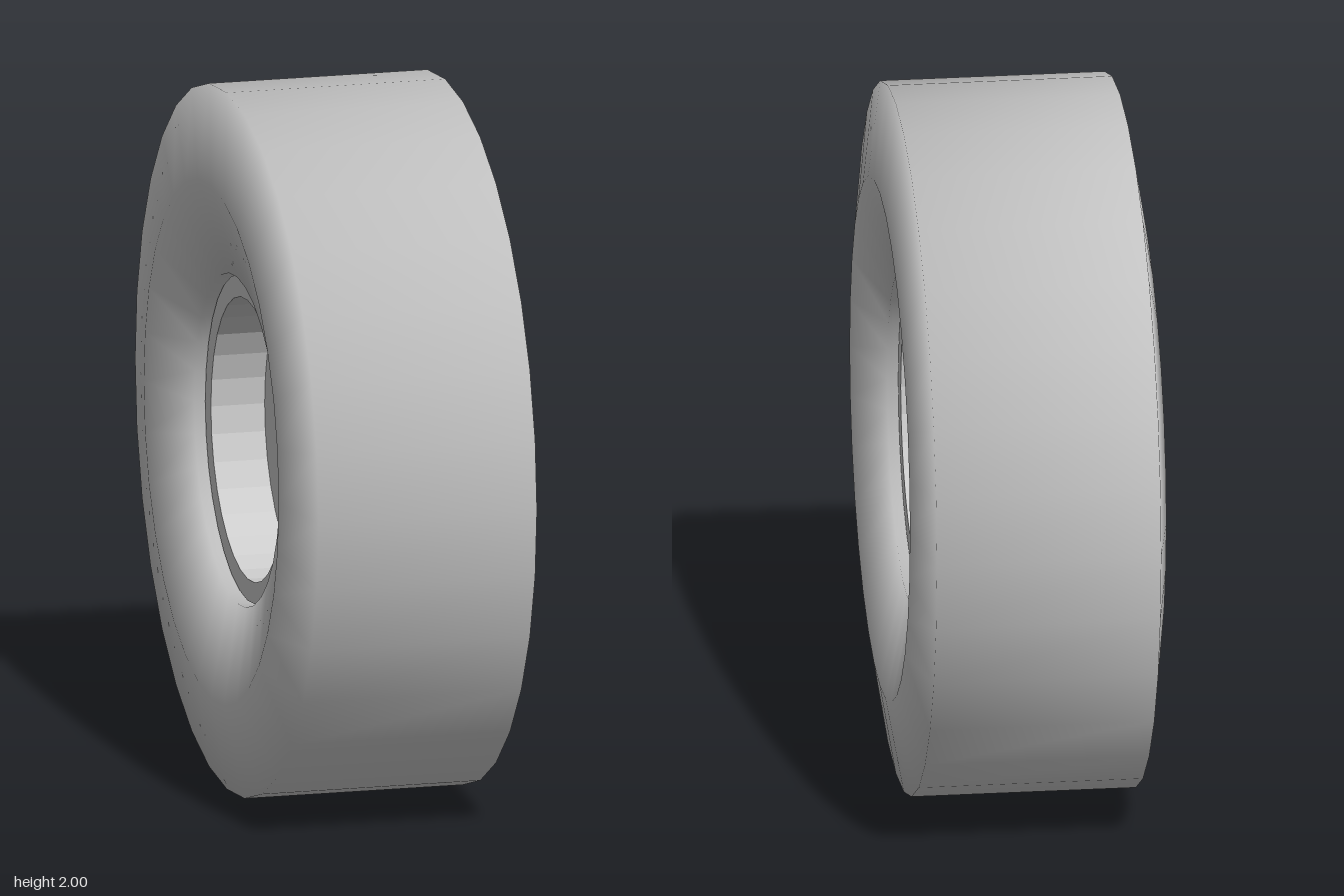
import * as THREE from 'three';

const SIDES = 32;

// Revolves a profile of (radius, distance along the axle) around the x axis.
// Each vertex normal halves the angle between the two bands it joins.
function revolve(name, profile, flatShading) {
  const points = profile.map(([r, w]) => new THREE.Vector2(r, w));
  const geometry = new THREE.LatheGeometry(points, SIDES);

  const bands = points.slice(1).map((p, j) => {
    const d = p.clone().sub(points[j]).normalize();
    return new THREE.Vector2(d.y, -d.x);
  });
  const normals = geometry.attributes.normal;
  for (let i = 0; i <= SIDES; i++) {
    const angle = (i / SIDES) * Math.PI * 2;
    points.forEach((_, j) => {
      const before = bands[Math.max(j - 1, 0)];
      const after = bands[Math.min(j, bands.length - 1)];
      const n = before.clone().add(after).normalize();
      normals.setXYZ(i * points.length + j, n.x * Math.sin(angle), n.y, n.x * Math.cos(angle));
    });
  }

  geometry.rotateZ(-Math.PI / 2);
  const mesh = new THREE.Mesh(
    geometry,
    new THREE.MeshStandardMaterial({ color: 0xcccccc, flatShading })
  );
  mesh.name = name;
  return mesh;
}

export function createModel() {
  const wheel = new THREE.Group();
  wheel.name = 'wheel';

  // Tyre: smooth closed ring with bulging sidewalls that dip towards the hub
  const tyre = revolve('tyre', [
    [0.468, 0], [0.468, -0.285], [0.735, -0.36], [1, -0.315],
    [1, 0.315], [0.735, 0.36], [0.468, 0.285], [0.468, 0],
  ], false);

  // Rim: faceted drum set just inside the tyre, with a recessed disc on both sides
  const rim = revolve('rim', [
    [0, -0.1], [0.4, -0.1], [0.4, -0.255], [0.462, -0.255],
    [0.462, 0.255], [0.4, 0.255], [0.4, 0.1], [0, 0.1],
  ], true);

  wheel.add(tyre, rim);
  wheel.position.y = 1;

  const model = new THREE.Group();
  model.add(wheel);
  return model;
}
